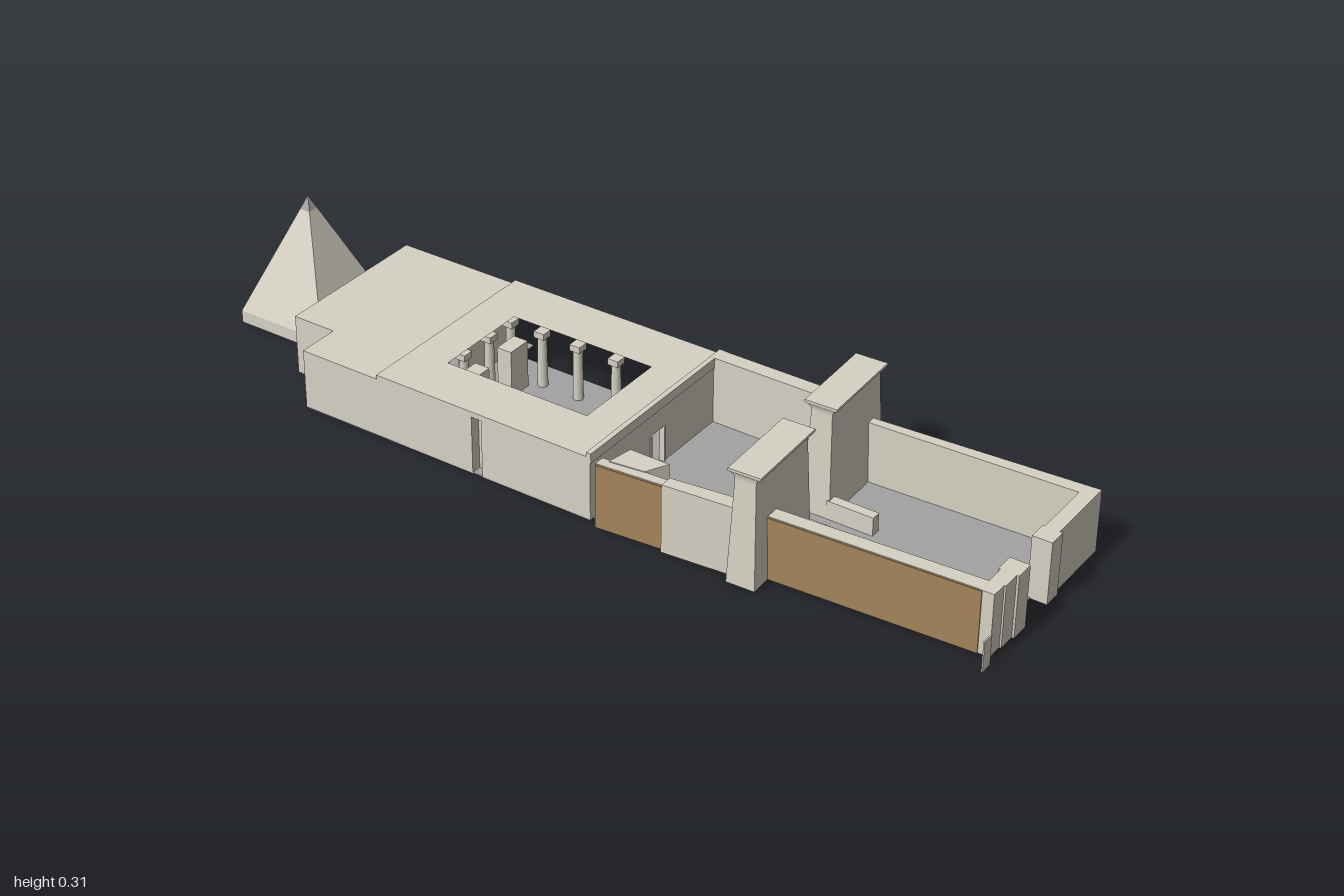
import * as THREE from 'three';

const mat = (name, color, side = THREE.FrontSide) => {
  const m = new THREE.MeshStandardMaterial({ color, side });
  m.name = name;
  return m;
};

export function createModel() {
  const stone = mat('sandstone', 0xd6d2c4);
  const sheetStone = stone;
  const grey = mat('grey paving', 0xa3a3a3);
  const brown = mat('brown mudbrick', 0xa5855c);
  const model = new THREE.Group();
  const BASE = 0.003;

  const add = (name, geometry, material = stone, parent = model) => {
    const mesh = new THREE.Mesh(geometry, material);
    mesh.name = name;
    parent.add(mesh);
    return mesh;
  };

  // Upright prism over a footprint of [x, z] corners, with an optional hole
  const prism = (name, pts, y0, y1, material = stone, hole) => {
    const v = (p) => p.map(([x, z]) => new THREE.Vector2(x, -z));
    const shape = new THREE.Shape(v(pts));
    if (hole) shape.holes.push(new THREE.Path(v(hole)));
    const g = new THREE.ExtrudeGeometry(shape, { depth: y1 - y0, bevelEnabled: false });
    g.rotateX(-Math.PI / 2).translate(0, y0, 0);
    return add(name, g, material);
  };
  const rect = (x0, x1, z0, z1) => [[x0, z0], [x1, z0], [x1, z1], [x0, z1]];
  const block = (name, x0, x1, z0, z1, y1, y0 = BASE, material = stone) =>
    prism(name, rect(x0, x1, z0, z1), y0, y1, material);

  // One-sided upright sheet from a to b; it faces right of the walk seen from above
  const sheet = (name, [ax, az], [bx, bz], y0, y1) => {
    const g = new THREE.PlaneGeometry(Math.hypot(bx - ax, bz - az), y1 - y0);
    g.rotateY(-Math.atan2(bz - az, bx - ax));
    g.translate((ax + bx) / 2, (y0 + y1) / 2, (az + bz) / 2);
    return add(name, g, sheetStone);
  };

  // Square tower stacked from [y, half width, half depth] levels
  const stacked = (levels) => {
    const pos = [], corners = [[-1, 1], [1, 1], [1, -1], [-1, -1]];
    const at = ([y, w, d], k) => [corners[k % 4][0] * w, y, corners[k % 4][1] * d];
    for (let i = 0; i + 1 < levels.length; i++) {
      for (let k = 0; k < 4; k++) {
        const a = at(levels[i], k), b = at(levels[i], k + 1);
        const c = at(levels[i + 1], k + 1), d = at(levels[i + 1], k);
        pos.push(...a, ...b, ...c, ...a, ...c, ...d);
      }
    }
    const top = levels[levels.length - 1], low = levels[0];
    const t = [0, 1, 2, 3].map((k) => at(top, k)), l = [0, 1, 2, 3].map((k) => at(low, k));
    pos.push(...t[0], ...t[1], ...t[2], ...t[0], ...t[2], ...t[3]);
    pos.push(...l[0], ...l[2], ...l[1], ...l[0], ...l[3], ...l[2]);
    const g = new THREE.BufferGeometry();
    g.setAttribute('position', new THREE.Float32BufferAttribute(pos, 3));
    g.computeVertexNormals();
    return g;
  };

  // Paving
  prism('forecourtFloor', [[-0.17, 0.45], [0.2, 0.45], [0.222, 0.96], [-0.143, 0.96]], 0.0035, 0.006, grey);
  prism('innerCourtFloor', [[-0.23, 0.1], [0.21, 0.1], [0.21, 0.45], [-0.21, 0.45]], 0.0035, 0.006, grey);
  prism('templeFloor', [[-0.24, 0.1], [0.245, 0.1], [0.245, 0.02], [0.19, 0.02], [0.19, -0.4],
    [0.245, -0.4], [0.245, -0.755], [-0.14, -0.755], [-0.14, -0.65], [-0.24, -0.65]], 0.0035, 0.006, grey);
  block('courtSlab', -0.095, 0.095, -0.34, -0.03, 0.0065, 0, grey);

  // Forecourt walls and outer gate
  prism('forecourtRightWall', [[-0.205, 0.46], [-0.173, 0.46], [-0.143, 0.96], [-0.177, 0.96]], BASE, 0.15);
  prism('mudbrickFacing', [[-0.2085, 0.46], [-0.205, 0.46], [-0.177, 0.962], [-0.18, 0.962]], BASE, 0.148, brown);
  prism('forecourtLeftWall', [[0.2, 0.46], [0.22, 0.46], [0.254, 0.99], [0.222, 0.99]], BASE, 0.15);
  block('frontWallRight', -0.178, -0.098, 0.957, 0.988, 0.15);
  block('frontWallLeft', 0.078, 0.25, 0.957, 0.99, 0.15);
  block('gatePierRight', -0.14, -0.098, 0.957, 0.992, 0.15);
  block('gatePierRightInner', -0.098, -0.053, 0.952, 0.997, 0.15);
  block('gatePierLeft', 0.035, 0.078, 0.952, 0.997, 0.15);
  block('standingSlab', -0.227, -0.198, 0.997, 1.0, 0.075);

  // Pylons with a flared cornice, and the low walls of the passage
  for (const [s, z] of [[-1, 0.47], [1, 0.46]]) {
    const pylon = new THREE.Group();
    pylon.name = s < 0 ? 'rightPylon' : 'leftPylon';
    pylon.position.set(s * 0.1475, 0, z);
    pylon.rotation.y = 0.04;
    model.add(pylon);
    add('pylonBody', stacked([[BASE, 0.111, 0.033], [0.245, 0.1, 0.024]]), stone, pylon);
    add('pylonCornice', stacked([[0.243, 0.1, 0.024], [0.25, 0.1005, 0.025],
      [0.256, 0.102, 0.028], [0.262, 0.105, 0.035]]), stone, pylon);
    add('pylonCap', stacked([[0.262, 0.106, 0.037], [0.268, 0.106, 0.037]]), stone, pylon);
    const xs = [s * 0.037, s * 0.06].sort((a, b) => a - b);
    block('passageWall', xs[0], xs[1], 0.49, 0.6, 0.05);
  }

  // Inner court walls
  block('innerCourtLeftWall', 0.21, 0.246, 0.1, 0.45, 0.165);
  prism('innerCourtRightWall', [[-0.25, 0.28], [-0.22, 0.28], [-0.2, 0.45], [-0.235, 0.45]], BASE, 0.165);
  prism('mudbrickWall', [[-0.25, 0.12], [-0.225, 0.12], [-0.215, 0.28], [-0.237, 0.28]], BASE, 0.155);
  prism('mudbrickWallFacing', [[-0.254, 0.122], [-0.25, 0.12], [-0.237, 0.275], [-0.241, 0.275]], BASE, 0.153, brown);
  prism('sideKiosk', [[-0.23, 0.14], [-0.17, 0.15], [-0.17, 0.245], [-0.22, 0.22]], BASE, 0.157);

  // Temple roofs around the open court
  prism('hallRoof', rect(-0.24, 0.247, -0.45, 0.1), 0.142, 0.155, stone, rect(-0.115, 0.118, -0.357, 0.003));
  prism('sanctuaryRoof', [[-0.24, -0.45], [0.247, -0.45], [0.247, -0.757], [-0.14, -0.757],
    [-0.14, -0.65], [-0.24, -0.65]], 0.132, 0.145);
  block('facadeParapet', -0.24, 0.247, 0.09, 0.102, 0.165, 0.142);

  // Temple outer walls
  sheet('facadeRight', [-0.24, 0.1], [-0.022, 0.1], BASE, 0.142);
  sheet('facadeLeft', [0.022, 0.1], [0.247, 0.1], BASE, 0.142);
  sheet('facadeLintel', [-0.022, 0.1], [0.022, 0.1], 0.092, 0.142);
  block('doorJambRight', -0.027, -0.022, 0.09, 0.103, 0.092);
  block('doorJambLeft', 0.022, 0.027, 0.09, 0.103, 0.092);
  sheet('hallLeftWall', [0.247, 0.1], [0.247, -0.45], BASE, 0.142);
  sheet('sanctuaryLeftWall', [0.247, -0.45], [0.247, -0.757], BASE, 0.132);
  sheet('backWall', [0.247, -0.757], [-0.14, -0.757], BASE, 0.132);
  sheet('notchSideWall', [-0.14, -0.757], [-0.14, -0.65], BASE, 0.132);
  sheet('notchBackWall', [-0.14, -0.65], [-0.24, -0.65], BASE, 0.132);
  sheet('sanctuaryRightWall', [-0.24, -0.65], [-0.24, -0.45], BASE, 0.132);
  block('hallRightWallRear', -0.24, -0.215, -0.45, -0.2, 0.142);
  block('hallRightWallFront', -0.24, -0.215, -0.175, 0.1, 0.142);
  block('sideDoorBack', -0.216, -0.208, -0.21, -0.165, 0.142);

  // Inner wall behind the court, with a central doorway, and two screens
  block('innerWallRight', -0.215, -0.025, -0.44, -0.425, 0.142);
  block('innerWallLeft', 0.025, 0.2, -0.44, -0.425, 0.142);
  block('innerWallLintel', -0.025, 0.025, -0.44, -0.425, 0.142, 0.1);
  block('sanctuaryCrossWall', -0.215, 0.2, -0.56, -0.545, 0.132);
  block('screenRight', -0.1, -0.037, -0.345, -0.308, 0.12);
  block('screenLeft', 0.04, 0.1, -0.345, -0.308, 0.12);

  // Colonnade round the court
  const column = (x, z) => {
    const shaft = new THREE.CylinderGeometry(0.01, 0.012, 0.139, 10).translate(x, BASE + 0.0695, z);
    add('column', shaft);
    block('columnCapital', x - 0.013, x + 0.013, z - 0.013, z + 0.013, 0.143, 0.128);
  };
  for (const s of [-1, 1]) {
    for (const z of [0.012, -0.09, -0.19, -0.285, -0.37]) column(s * 0.122, z);
    for (const z of [0.012, -0.37]) column(s * 0.045, z);
  }

  // Pyramid on a plinth, with a grey capstone
  const pyramid = new THREE.Group();
  pyramid.name = 'pyramid';
  pyramid.position.set(0.067, 0, -0.8835);
  model.add(pyramid);
  add('pyramidPlinth', stacked([[BASE, 0.1145, 0.1165], [0.033, 0.1145, 0.1165]]), stone, pyramid);
  add('pyramidSides', stacked([[0.033, 0.1145, 0.1165], [0.28, 0.0131, 0.0134]]), stone, pyramid);
  add('capstone', stacked([[0.28, 0.0131, 0.0134], [0.312, 0.0001, 0.0001]]), grey, pyramid);

  return model;
}
